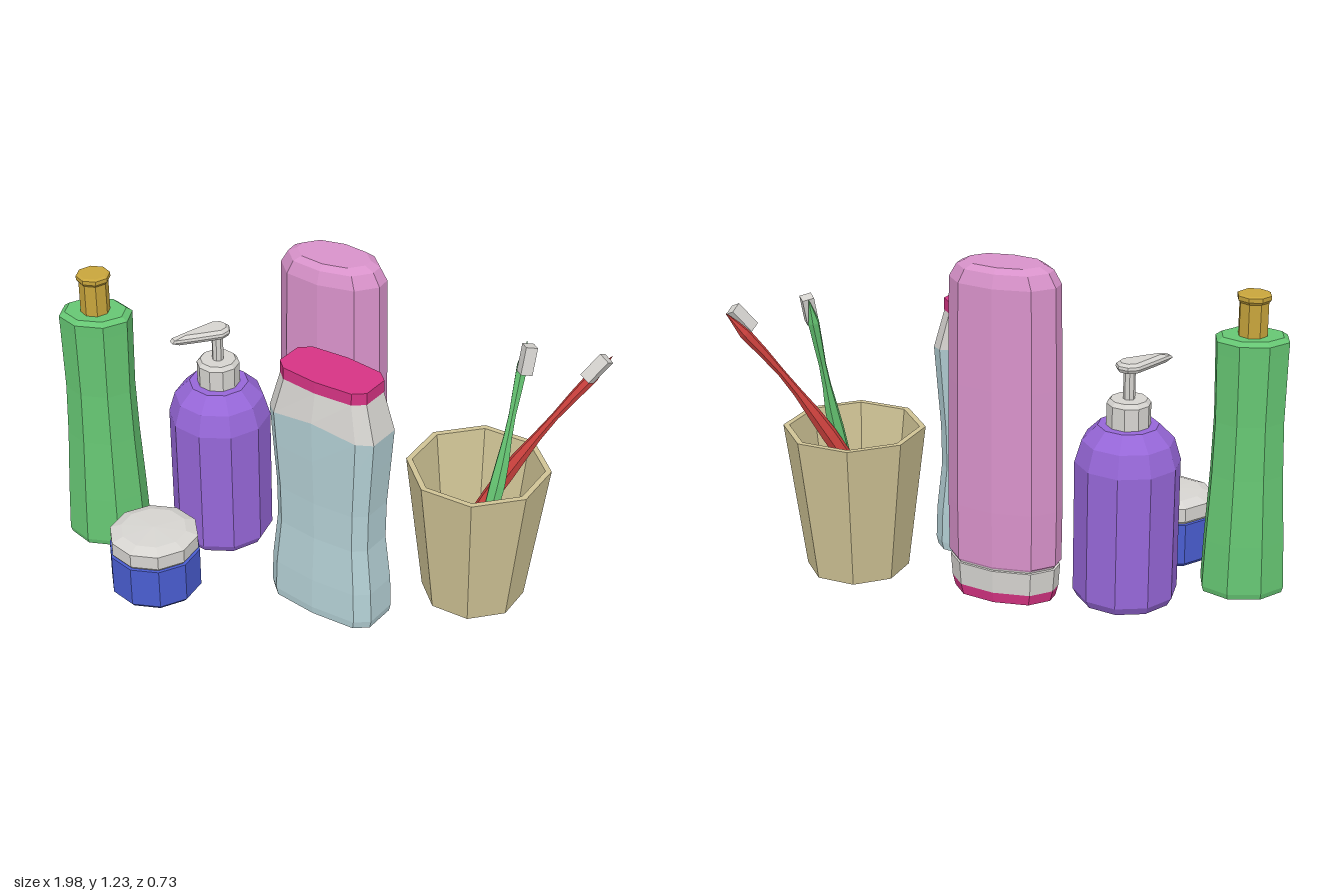
import * as THREE from 'three';

const mat = (name, color) => new THREE.MeshStandardMaterial({ name, color, side: THREE.DoubleSide });

// Regular polygon footprint as [x, z] points; flat = a side faces the front
function polygon(n, rx = 1, rz = rx, turn = 0) {
  return Array.from({ length: n }, (_, i) => {
    const a = (i / n) * Math.PI * 2 + turn;
    return [Math.sin(a) * rx, Math.cos(a) * rz];
  });
}

// Ten-sided flattened footprint: end corner, shoulder corner, middle bulge
function flask([ex, ez], [sx, sz], mz) {
  return [[0, mz], [sx, sz], [ex, ez], [ex, -ez], [sx, -sz],
    [0, -mz], [-sx, -sz], [-ex, -ez], [-ex, ez], [-sx, sz]];
}

// Faceted skin through rings of [height, scale, lift at the middle]
function loft(outline, rings) {
  const pos = [];
  const half = Math.max(...outline.map(p => Math.abs(p[0])));
  const at = ([y, s, lift = 0], i) => {
    const [x, z] = outline[i % outline.length];
    return [x * s, y + lift * (1 - Math.abs(x) / half), z * s];
  };
  for (let r = 0; r < rings.length - 1; r++) {
    for (let i = 0; i < outline.length; i++) {
      const a = at(rings[r], i), b = at(rings[r], i + 1);
      const c = at(rings[r + 1], i + 1), d = at(rings[r + 1], i);
      if (rings[r][1] > 0) pos.push(...a, ...b, ...c);
      if (rings[r + 1][1] > 0) pos.push(...a, ...c, ...d);
    }
  }
  const g = new THREE.BufferGeometry();
  g.setAttribute('position', new THREE.Float32BufferAttribute(pos, 3));
  g.computeVertexNormals();
  return g;
}

export function createModel() {
  const model = new THREE.Group();
  model.name = 'bathroomSet';

  const green = mat('green', 0x66c673);
  const gold = mat('gold', 0xc8a53c);
  const purple = mat('purple', 0x9667d8);
  const grey = mat('lightGrey', 0xd6d4d0);
  const blue = mat('blue', 0x4a5dd0);
  const pink = mat('pink', 0xd892ca);
  const magenta = mat('magenta', 0xd63484);
  const paleBlue = mat('paleBlue', 0xb4d0d5);
  const tan = mat('tan', 0xcfc395);
  const red = mat('red', 0xcc413d);

  const group = (name, x, z, turn = 0) => {
    const g = new THREE.Group();
    g.name = name;
    g.position.set(x, 0, z);
    g.rotation.y = turn;
    model.add(g);
    return g;
  };
  const add = (parent, name, geometry, material) => {
    const m = new THREE.Mesh(geometry, material);
    m.name = name;
    parent.add(m);
    return m;
  };

  // Tall green bottle with a gold cap
  const tall = group('tallBottle', -0.855, -0.11);
  add(tall, 'tallBottleBody', loft(polygon(8, 0.157, 0.124, Math.PI / 8), [
    [0, 0.96], [0.02, 1], [0.2, 0.95], [0.45, 0.86], [0.65, 0.82],
    [0.9, 0.85], [0.945, 0.86], [0.96, 0.72], [0.96, 0]]), green);
  add(tall, 'tallBottleCap', loft(polygon(8, 1, 1, Math.PI / 8), [
    [0.95, 0.053], [1.08, 0.053], [1.09, 0.061], [1.105, 0.061], [1.11, 0.052], [1.11, 0]]), gold);

  // Purple soap dispenser with a pump
  const soap = group('soapDispenser', -0.433, -0.19);
  const ten = polygon(10, 1, 1, 0.42);
  add(soap, 'dispenserBody', loft(ten, [
    [0, 0.17], [0.03, 0.187], [0.52, 0.187], [0.6, 0.163], [0.655, 0.108], [0.655, 0]]), purple);
  add(soap, 'pumpCollar', loft(ten, [
    [0.65, 0.078], [0.735, 0.078], [0.75, 0.065], [0.75, 0]]), grey);
  add(soap, 'pumpStem', loft(polygon(8), [[0.74, 0.021], [0.865, 0.021]]), grey);
  const teardrop = [[0, 0.05], [0.1, 0.03], [0.18, 0.012], [0.18, -0.012], [0.1, -0.03],
    [0, -0.05], [-0.035, -0.035], [-0.05, 0], [-0.035, 0.035]];
  add(soap, 'pumpNozzle', loft(teardrop, [
    [0.853, 0], [0.853, 0.85], [0.866, 1], [0.876, 0.95], [0.886, 0.7], [0.886, 0]]), grey)
    .rotation.y = Math.atan2(-0.6, -0.8);

  // Cream jar with a recessed base
  const jar = group('creamJar', -0.605, 0.195);
  const jarRound = polygon(10, 1, 1, Math.PI / 10);
  add(jar, 'jarBase', loft(jarRound, [
    [0.06, 0], [0.06, 0.115], [0, 0.125], [0, 0.155], [0.015, 0.168], [0.17, 0.168], [0.17, 0.15]]), blue);
  add(jar, 'jarLid', loft(jarRound, [
    [0.17, 0.155], [0.18, 0.163], [0.232, 0.163], [0.248, 0.12], [0.253, 0]]), grey);

  // Pink bottle standing on its cap
  const shampoo = group('pinkBottle', -0.005, -0.165, -0.35);
  const oval = flask([0.203, 0.03], [0.138, 0.1], 0.124);
  add(shampoo, 'pinkBottleBody', loft(oval, [
    [0.135, 0.97], [0.142, 1], [0.35, 1.01], [0.8, 0.99], [1.165, 0.96],
    [1.212, 0.83], [1.23, 0.66], [1.23, 0]]), pink);
  add(shampoo, 'pinkBottleCollar', loft(oval, [
    [0.04, 0.95], [0.125, 0.98], [0.128, 0.95], [0.136, 0.97]]), grey);
  add(shampoo, 'pinkBottleCap', loft(oval, [
    [0, 0.82], [0, 0.9], [0.04, 0.95]]), magenta);

  // Pale blue bottle with a waist
  const lotion = group('paleBlueBottle', 0.043, 0.18, -0.47);
  const slab = flask([0.22, 0.062], [0.172, 0.103], 0.118);
  add(lotion, 'paleBlueBottleBody', loft(slab, [
    [0, 0.97], [0.03, 1], [0.15, 0.98], [0.33, 0.89], [0.48, 0.9], [0.66, 0.96], [0.785, 1, 0.035]]), paleBlue);
  add(lotion, 'paleBlueBottleShoulder', loft(slab, [[0.785, 1, 0.035], [0.93, 0.82]]), grey);
  add(lotion, 'paleBlueBottleCap', loft(slab, [
    [0.93, 0.825], [0.975, 0.825], [0.975, 0]]), magenta);

  // Toothbrush cup, hollow with a floor
  const cup = group('toothbrushCup', 0.545, 0.04);
  add(cup, 'cupShell', loft(polygon(8), [
    [0, 0], [0, 0.187], [0.545, 0.257], [0.545, 0.235], [0.04, 0.168], [0.04, 0]]), tan);

  // Toothbrushes: a swelling six-sided handle and a bristle block near the tip
  const radii = [0.001, 0.022, 0.024, 0.026, 0.029, 0.03, 0.025, 0.017, 0.014, 0.018, 0.021, 0.001];
  const brush = (name, points, normal, material) => {
    const g = group(name, 0, 0);
    const curve = new THREE.CatmullRomCurve3(points.map(p => new THREE.Vector3(...p)));
    const last = radii.length - 1;
    const tube = new THREE.TubeGeometry(curve, last, 1, 6);
    const p = tube.attributes.position, v = new THREE.Vector3();
    for (let i = 0; i < p.count; i++) {
      const ring = Math.floor(i / 7), c = curve.getPointAt(ring / last);
      v.fromBufferAttribute(p, i).sub(c).multiplyScalar(radii[ring]).add(c);
      p.setXYZ(i, v.x, v.y, v.z);
    }
    const handle = tube.toNonIndexed();
    handle.computeVertexNormals();
    add(g, name + 'Handle', handle, material);

    const y = curve.getTangentAt(0.94);
    const z = new THREE.Vector3(...normal).projectOnPlane(y).normalize();
    const x = new THREE.Vector3().crossVectors(y, z);
    const bristles = add(g, name + 'Bristles', new THREE.BoxGeometry(0.042, 0.1, 0.045), grey);
    bristles.quaternion.setFromRotationMatrix(new THREE.Matrix4().makeBasis(x, y, z));
    bristles.position.copy(curve.getPointAt(0.945)).addScaledVector(z, 0.034);
  };
  brush('redToothbrush',
    [[0.4, 0.08, 0.1], [0.65, 0.53, 0.04], [0.8, 0.76, 0.01], [0.975, 0.99, -0.035]],
    [-0.4, 0.4, 0.8], red);
  brush('greenToothbrush',
    [[0.535, 0.08, 0.18], [0.62, 0.52, 0.095], [0.65, 0.75, 0.05], [0.685, 1.035, -0.015]],
    [0.35, 0.1, 0.9], green);

  return model;
}
